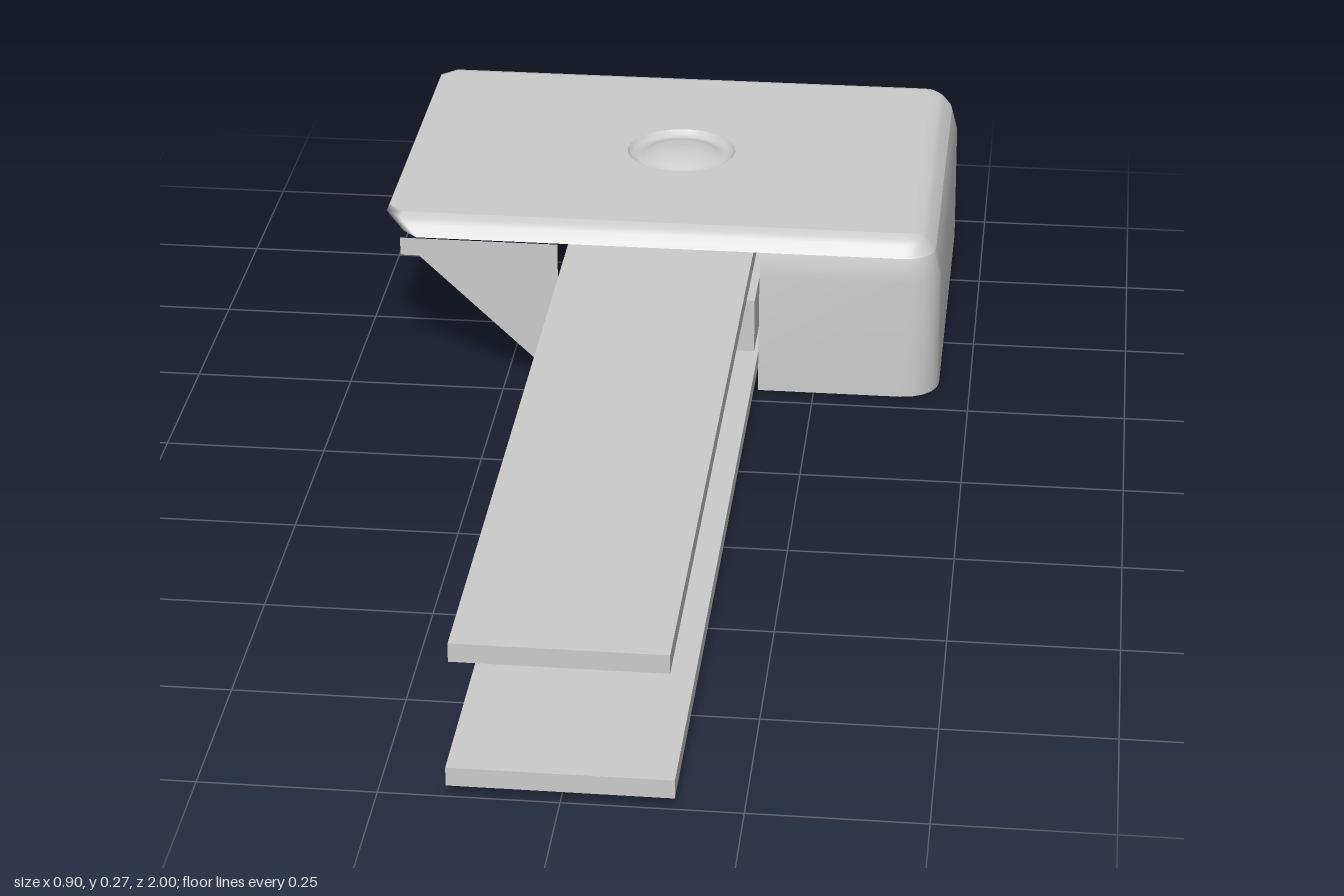
import * as THREE from 'three';

const grey = new THREE.MeshStandardMaterial({ color: 0xcccccc, side: THREE.DoubleSide });
const FRONT = -0.29, BACK = -1, RIGHT = 0.45, R = 0.06;

function add(group, name, geometry) {
  const mesh = new THREE.Mesh(geometry, grey);
  mesh.name = name;
  group.add(mesh);
  return mesh;
}

// Front, +x side and back outline as [x, z], with two rounded corners
function outline(startX, endX, inset) {
  const pts = [[startX, FRONT - inset]];
  const r = R - inset, n = 5;
  for (let i = 0; i <= n; i++) {
    const a = (i / n) * Math.PI / 2;
    pts.push([RIGHT - R + r * Math.sin(a), FRONT - R + r * Math.cos(a)]);
  }
  for (let i = 0; i <= n; i++) {
    const a = (i / n) * Math.PI / 2;
    pts.push([RIGHT - R + r * Math.cos(a), BACK + R - r * Math.sin(a)]);
  }
  pts.push([endX, BACK + inset]);
  return pts;
}

// Closed lid outline: the open edge on -x has small corners
function lidOutline(left, inset) {
  const c = 0.025;
  return [
    [left, BACK + inset + c], [left, FRONT - inset - c],
    ...outline(left + c, left + c, inset),
    [left, BACK + inset + c],
  ];
}

// Skin a stack of outlines: rows of { y, pts }
function loft(rows) {
  const pos = [], idx = [], n = rows[0].pts.length;
  rows.forEach(({ y, pts }) => pts.forEach(([x, z]) => pos.push(x, y, z)));
  for (let j = 0; j < rows.length - 1; j++) {
    for (let i = 0; i < n - 1; i++) {
      const a = j * n + i, b = a + 1, c = b + n, d = a + n;
      idx.push(a, b, c, a, c, d);
    }
  }
  const g = new THREE.BufferGeometry();
  g.setAttribute('position', new THREE.Float32BufferAttribute(pos, 3));
  g.setIndex(idx);
  g.computeVertexNormals();
  return g;
}

function bar(group, name, width, y0, y1, z0, z1) {
  const mesh = add(group, name, new THREE.BoxGeometry(width, y1 - y0, z1 - z0));
  mesh.position.set(0, (y0 + y1) / 2, (z0 + z1) / 2);
}

export function createModel() {
  const model = new THREE.Group();
  model.name = 'clampBody';

  // Housing wall: right part of the front, +x side and back
  const wallRows = [[0, 0], [0.2, 0.002], [0.238, 0.012]];
  add(model, 'housingWall', loft(wallRows.map(([y, s]) => ({ y, pts: outline(0.16, -0.45, s) }))));

  // Remaining front panel on the open side: a lip with a gusset
  const panel = new THREE.Shape([
    [-0.165, 0], [-0.165, 0.24], [-0.42, 0.24], [-0.42, 0.21], [-0.39, 0.21],
  ].map(([x, y]) => new THREE.Vector2(x, y)));
  add(model, 'frontGusset', new THREE.ShapeGeometry(panel)).position.z = FRONT - 0.004;

  // Rounded lid edge
  const lidRows = [[0.238, 0.012, -0.42], [0.255, 0.025, -0.44], [0.262, 0.035, -0.45], [0.266, 0.05, -0.448]];
  add(model, 'lidEdge', loft(lidRows.map(([y, s, left]) => ({ y, pts: lidOutline(left, s) }))));

  // Lid top with a round hole for the button
  const top = new THREE.Shape(lidOutline(-0.448, 0.05).map(([x, z]) => new THREE.Vector2(x, -z)));
  const hole = new THREE.Path();
  hole.absarc(0, 0.64, 0.09, 0, Math.PI * 2, true);
  top.holes.push(hole);
  const topGeometry = new THREE.ShapeGeometry(top, 12);
  topGeometry.rotateX(-Math.PI / 2);
  add(model, 'lidTop', topGeometry).position.y = 0.266;

  // Domed button in a shallow recess
  const profile = [
    [0.09, 0.266], [0.083, 0.257], [0.072, 0.255], [0.062, 0.261],
    [0.045, 0.268], [0.025, 0.272], [0, 0.273],
  ].map(([r, y]) => new THREE.Vector2(r, y));
  add(model, 'button', new THREE.LatheGeometry(profile, 24)).position.z = -0.64;

  // Two long flat bars and the block resting on the lower one
  bar(model, 'upperBar', 0.298, 0.21, 0.238, -0.93, 1);
  bar(model, 'lowerBar', 0.312, 0.017, 0.045, -0.93, 1);
  bar(model, 'innerBlock', 0.298, 0.045, 0.135, -0.91, -0.34);

  return model;
}
